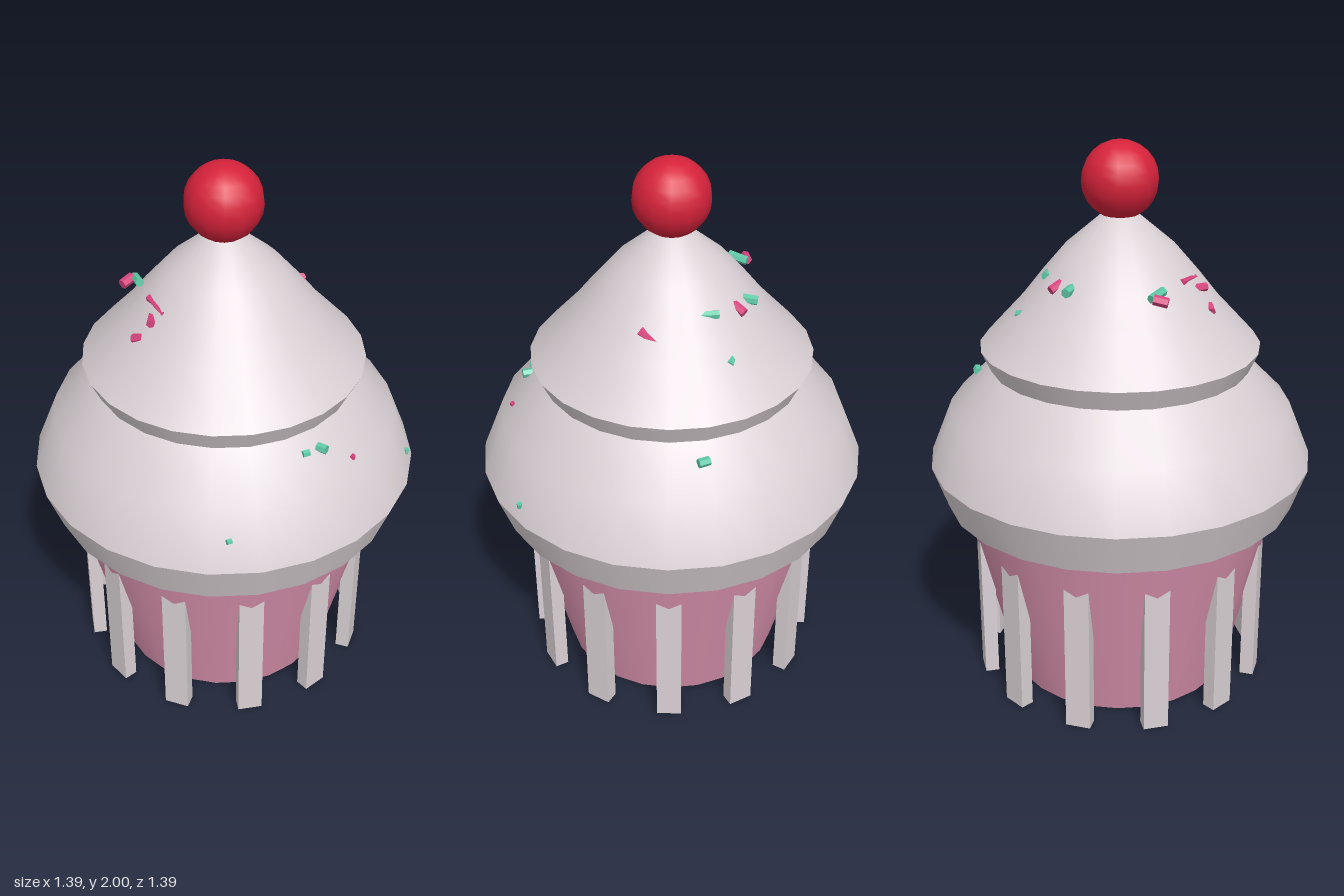
import * as THREE from 'three';

const material = (name, color, extra = {}) => {
  const m = new THREE.MeshStandardMaterial({ color, ...extra });
  m.name = name;
  return m;
};

export function createModel() {
  const cream = material('cream', 0xd9d0d4);
  const wrapperPink = material('wrapper pink', 0xda92ae, { side: THREE.DoubleSide });
  const cherryRed = material('cherry red', 0xd6223a);
  const candyPink = material('candy pink', 0xd8447e);
  const mint = material('mint', 0x5fc8a6);

  const model = new THREE.Group();
  model.name = 'cupcake';
  const add = (parent, name, geometry, mat) => {
    const mesh = new THREE.Mesh(geometry, mat);
    mesh.name = name;
    parent.add(mesh);
    return mesh;
  };
  const lathe = (points) =>
    new THREE.LatheGeometry(points.map(([r, y]) => new THREE.Vector2(r, y)), 24);

  // Flared paper cup, open at the bottom
  add(model, 'wrapper', lathe([[0.41, 0], [0.58, 0.7]]), wrapperPink);

  // Twelve upright ribs that sink into the cup as it widens
  const ribs = new THREE.Group();
  ribs.name = 'wrapperRibs';
  model.add(ribs);
  const ribGeometry = new THREE.BoxGeometry(0.09, 0.66, 0.05).translate(0, 0.33, 0.515);
  for (let i = 0; i < 12; i++) {
    add(ribs, 'rib', ribGeometry, cream).rotation.y = (i * Math.PI) / 6;
  }

  // Frosting: separate smooth bands keep the rims sharp
  const frosting = new THREE.Group();
  frosting.name = 'frosting';
  model.add(frosting);
  const bands = {
    frostingBase: [[0, 0.7], [0.64, 0.7]],
    lowerRim: [[0.64, 0.7], [0.695, 0.857]],
    lowerSwirl: [[0.695, 0.857], [0.615, 1.055], [0.465, 1.207]],
    upperRim: [[0.465, 1.207], [0.5, 1.283]],
    upperSwirl: [[0.5, 1.283], [0.36, 1.435], [0.285, 1.53], [0.195, 1.635], [0.06, 1.75], [0, 1.76]],
  };
  for (const [name, points] of Object.entries(bands)) add(frosting, name, lathe(points), cream);

  // Cherry
  add(model, 'cherry', new THREE.SphereGeometry(0.135, 14, 12), cherryRed).position.y = 1.865;

  // Sprinkles: material, centre, direction, length, radius
  const sprinkles = new THREE.Group();
  sprinkles.name = 'sprinkles';
  model.add(sprinkles);
  const up = new THREE.Vector3(0, 1, 0);
  const list = [
    [candyPink, [-0.215, 1.53, -0.26], [1, 0.2, -0.1], 0.05, 0.018],
    [candyPink, [0.155, 1.54, -0.22], [-0.75, 0.5, 1], 0.065, 0.016],
    [candyPink, [0.285, 1.5, 0.07], [-0.4, 0.6, 1], 0.07, 0.016],
    [candyPink, [0.11, 1.435, 0.315], [1, 0, -0.6], 0.04, 0.012],
    [candyPink, [-0.025, 1.36, 0.41], [1, 0, 0], 0.028, 0.01],
    [candyPink, [0.09, 1.095, 0.565], [1, 0, -0.6], 0.016, 0.009],
    [candyPink, [-0.335, 1.45, -0.05], [0.5, 0.4, 1], 0.04, 0.016],
    [candyPink, [-0.29, 1.515, -0.03], [-1, 0, 1], 0.06, 0.015],
    [candyPink, [-0.255, 1.545, -0.045], [-0.17, -0.1, 1], 0.11, 0.012],
    [mint, [-0.195, 1.54, -0.23], [-0.4, 0.2, 1], 0.07, 0.016],
    [mint, [0.1, 1.54, -0.26], [-0.15, 0.1, 1], 0.06, 0.017],
    [mint, [0.225, 1.55, -0.115], [0.1, 0, 1], 0.09, 0.015],
    [mint, [0.29, 1.42, -0.2], [1, -0.3, 0.3], 0.05, 0.017],
    [mint, [0.505, 1.16, -0.115], [0.5, 0, 1], 0.04, 0.016],
    [mint, [-0.075, 1.16, 0.505], [1, 0, 0.3], 0.025, 0.013],
    [mint, [-0.015, 1.16, 0.52], [0.3, 0, 1], 0.035, 0.017],
    [mint, [-0.41, 0.965, 0.505], [1, 0, 0.3], 0.018, 0.01],
    [mint, [0.433, 0.91, 0.513], [0.2, 1, 0], 0.02, 0.01],
  ];
  for (const [mat, centre, direction, length, radius] of list) {
    // Flat-sided sticks with crisp faces
    const geometry = new THREE.CylinderGeometry(radius, radius, length, 6).toNonIndexed();
    geometry.computeVertexNormals();
    const stick = add(sprinkles, 'sprinkle', geometry, mat);
    stick.position.set(...centre);
    stick.quaternion.setFromUnitVectors(up, new THREE.Vector3(...direction).normalize());
  }

  return model;
}
